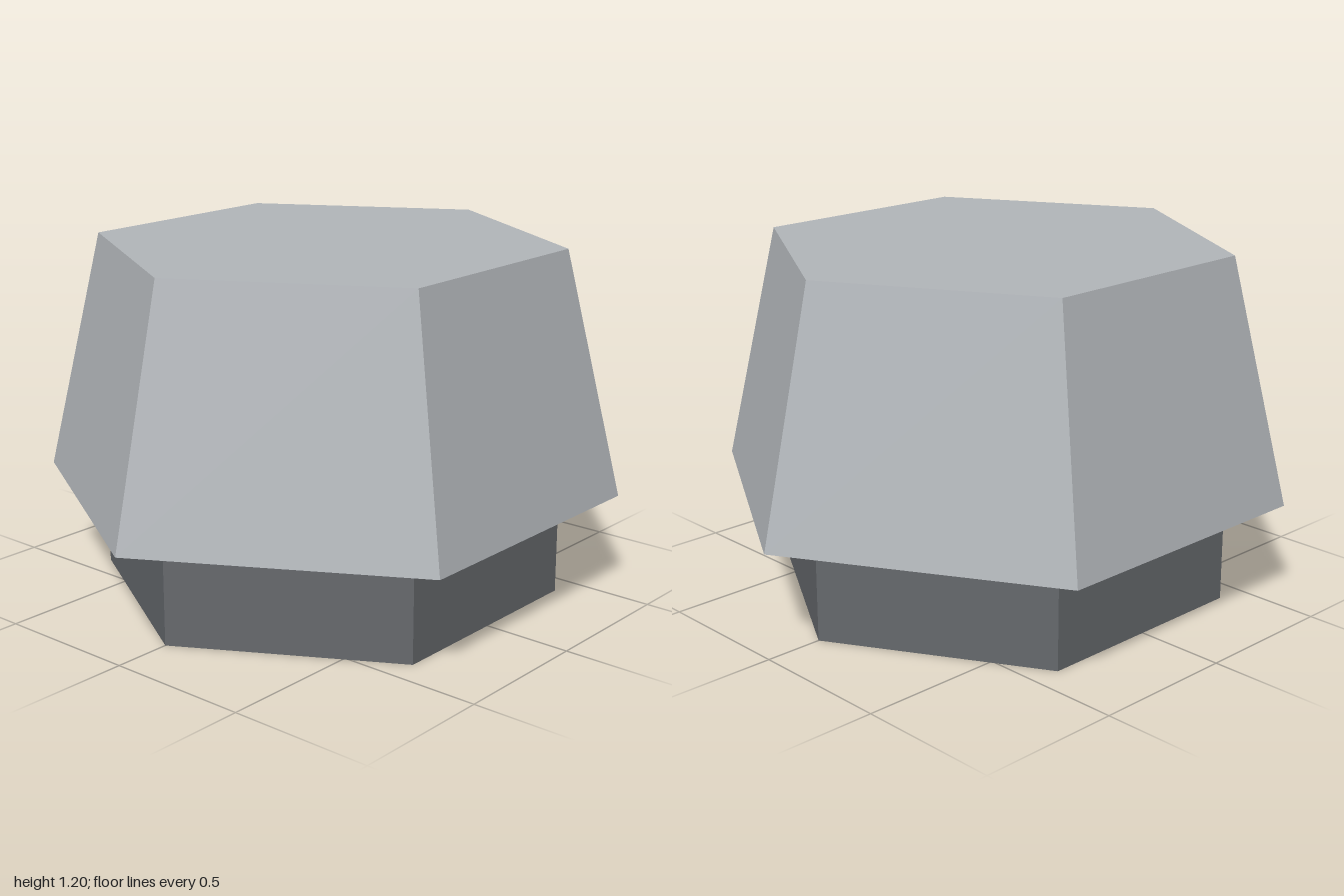
import * as THREE from 'three';

const SIDES = 6;

// Hexagonal frustum standing on y = bottom, with corners on the z axis
function hexPrism(name, topRadius, bottomRadius, bottom, top, material) {
  const geometry = new THREE.CylinderGeometry(topRadius, bottomRadius, top - bottom, SIDES).toNonIndexed();
  geometry.computeVertexNormals();
  geometry.translate(0, (bottom + top) / 2, 0);
  const mesh = new THREE.Mesh(geometry, material);
  mesh.name = name;
  return mesh;
}

export function createModel() {
  const lightGrey = new THREE.MeshStandardMaterial({ color: 0xb2b6ba, flatShading: true });
  lightGrey.name = 'light grey';
  const darkGrey = new THREE.MeshStandardMaterial({ color: 0x66696d, flatShading: true });
  darkGrey.name = 'dark grey';

  const model = new THREE.Group();
  model.name = 'hexagonalKnob';

  // Straight base and the tapered, overhanging cap on it
  model.add(hexPrism('base', 0.8, 0.8, 0, 0.36, darkGrey));
  model.add(hexPrism('cap', 0.8, 1, 0.36, 1.2, lightGrey));
  return model;
}
